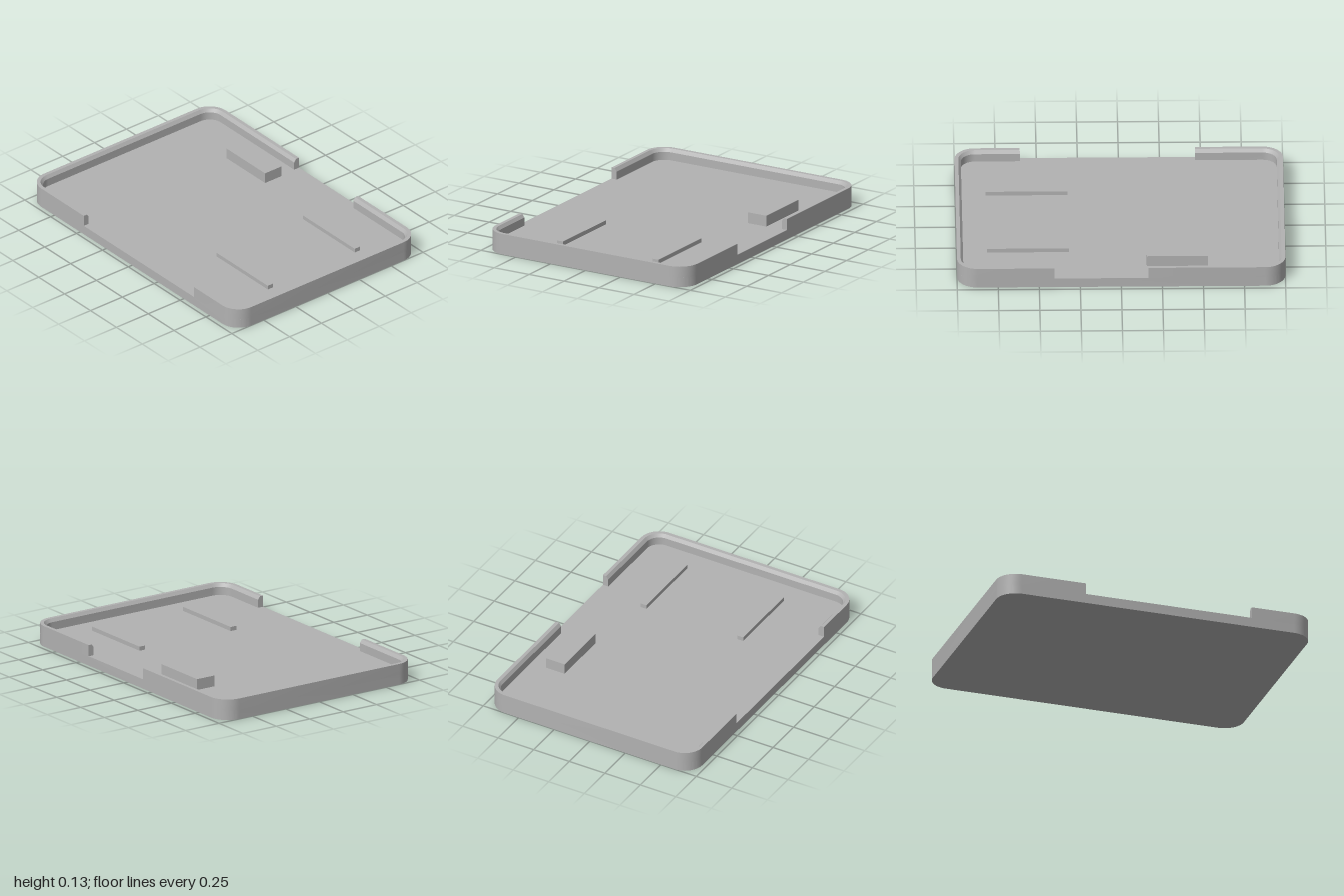
import * as THREE from 'three';
import { toCreasedNormals } from 'three/addons/utils/BufferGeometryUtils.js';

const W = 0.722, D = 1, R = 0.125;     // half width, half depth, corner radius
const FLOOR = 0.06, TOP = 0.131;

const plastic = new THREE.MeshStandardMaterial({ color: 0xb2b2b2 });
plastic.name = 'grey plastic';

function part(name, geometry, parent) {
  const mesh = new THREE.Mesh(geometry, plastic);
  mesh.name = name;
  parent.add(mesh);
  return mesh;
}

// Box standing on the tray floor, given by its x and z ranges
function floorBlock(name, x0, x1, z0, z1, top, parent) {
  const box = new THREE.BoxGeometry(x1 - x0, top - FLOOR, z1 - z0);
  part(name, box, parent).position.set((x0 + x1) / 2, (top + FLOOR) / 2, (z0 + z1) / 2);
}

// Arc stations around one rounded corner: centre plus outward direction
function corner(sx, sz, startAngle, steps = 12) {
  return Array.from({ length: steps + 1 }, (_, i) => {
    const a = startAngle + (i / steps) * Math.PI / 2;
    return { x: sx * (W - R), z: sz * (D - R), nx: Math.cos(a), nz: Math.sin(a) };
  });
}

// Wall section: [inset from the outer face, height], with a chamfered inner edge
const section = [[0, FLOOR], [0, TOP], [0.023, TOP], [0.038, 0.111], [0.038, FLOOR]];

// Sweep the wall section along the stations and cap both ends
function wallGeometry(stations) {
  const rings = stations.map(s => section.map(([inset, y]) =>
    [s.x + s.nx * (R - inset), y, s.z + s.nz * (R - inset)]));
  const pos = [];
  const tri = (a, b, c) => pos.push(...a, ...b, ...c);
  for (let i = 0; i < rings.length - 1; i++) {
    const p = rings[i], q = rings[i + 1];
    for (let j = 0; j < section.length - 1; j++) {
      tri(p[j], p[j + 1], q[j]);
      tri(q[j], p[j + 1], q[j + 1]);
    }
  }
  const first = rings[0], last = rings[rings.length - 1];
  for (let j = 1; j < section.length - 1; j++) {
    tri(first[0], first[j + 1], first[j]);
    tri(last[0], last[j], last[j + 1]);
  }
  const g = new THREE.BufferGeometry();
  g.setAttribute('position', new THREE.Float32BufferAttribute(pos, 3));
  return toCreasedNormals(g, Math.PI / 7);
}

function baseGeometry() {
  const s = new THREE.Shape();
  const cx = W - R, cy = D - R, q = Math.PI / 2;
  s.absarc(cx, cy, R, 0, q);
  s.absarc(-cx, cy, R, q, 2 * q);
  s.absarc(-cx, -cy, R, 2 * q, 3 * q);
  s.absarc(cx, -cy, R, 3 * q, 4 * q);
  s.closePath();
  const g = new THREE.ExtrudeGeometry(s, { depth: FLOOR, bevelEnabled: false, curveSegments: 12 });
  g.rotateX(-Math.PI / 2);
  return toCreasedNormals(g, Math.PI / 7);
}

export function createModel() {
  const tray = new THREE.Group();
  tray.name = 'tray';

  part('base', baseGeometry(), tray);

  // Two U-shaped walls leave an opening on each long side
  const leftEnd = z => ({ x: W - R, z, nx: 1, nz: 0 });
  const rightEnd = z => ({ x: R - W, z, nx: -1, nz: 0 });
  const q = Math.PI / 2;
  part('backWall', wallGeometry([
    rightEnd(-0.465), ...corner(-1, -1, 2 * q), ...corner(1, -1, 3 * q), leftEnd(-0.165)]), tray);
  part('frontWall', wallGeometry([
    leftEnd(0.407), ...corner(1, 1, 0), ...corner(-1, 1, q), rightEnd(0.602)]), tray);

  // Raised details on the floor
  floorBlock('supportBlock', 0.449, 0.579, -0.53, -0.156, 0.129, tray);
  floorBlock('rightRib', -0.318, -0.276, 0.317, 0.815, 0.086, tray);
  floorBlock('leftRib', 0.364, 0.406, 0.317, 0.815, 0.086, tray);

  return tray;
}
